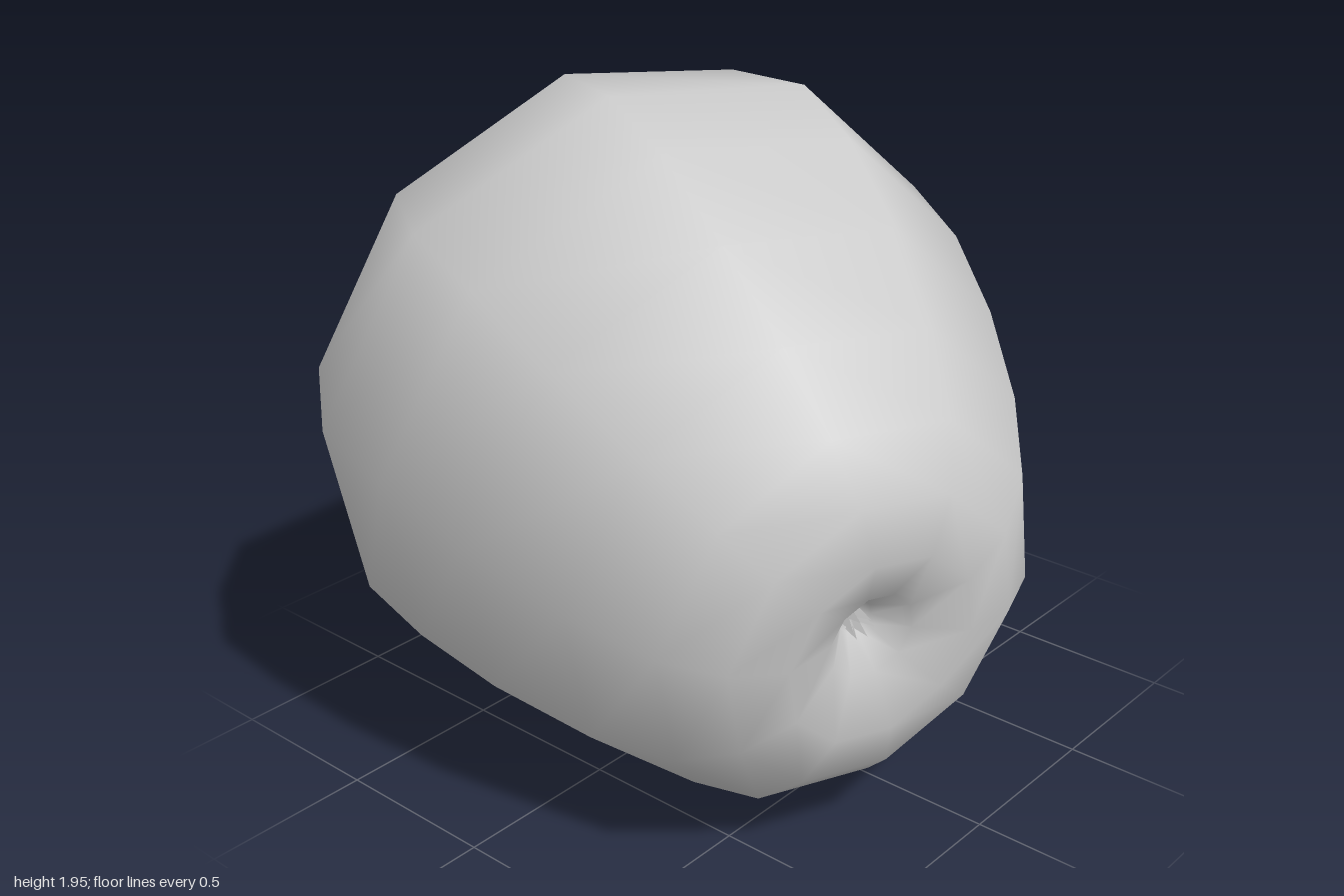
import * as THREE from 'three';
import { mergeVertices } from 'three/addons/utils/BufferGeometryUtils.js';

const V = (x, y, z) => new THREE.Vector3(x, y, z);
const { smoothstep } = THREE.MathUtils;

export function createModel() {
  const group = new THREE.Group();
  const smooth = new THREE.MeshStandardMaterial({ color: 0xcccccc });
  const faceted = new THREE.MeshStandardMaterial({ color: 0xcccccc, flatShading: true, side: THREE.DoubleSide });

  // Tilted core axis: local +y runs from the blossom end to the stem end
  const axis = V(0.31, 0.24, -0.92).normalize();
  const u = V(0.948, 0, 0.319).addScaledVector(axis, -V(0.948, 0, 0.319).dot(axis)).normalize();
  const tilt = new THREE.Matrix4().makeBasis(u, axis, u.clone().cross(axis));
  const fruit = new THREE.Group();
  fruit.name = 'fruit';
  fruit.quaternion.setFromRotationMatrix(tilt);
  fruit.position.set(-0.052, 0.94, 0);
  group.add(fruit);

  // Body: ten-sided turned profile with a dimple at both ends
  const profile = [
    [0, -0.81], [0.05, -0.84], [0.13, -0.92], [0.29, -0.975], [0.45, -0.935], [0.595, -0.825],
    [0.74, -0.6], [0.88, -0.28], [0.98, 0.03], [1.015, 0.3], [0.915, 0.6], [0.74, 0.7],
    [0.53, 0.76], [0.35, 0.71], [0.18, 0.61], [0.07, 0.51], [0, 0.49],
  ].map(([r, y]) => new THREE.Vector2(r, y));
  let skin = new THREE.LatheGeometry(profile, 10, Math.PI / 2 + 0.08);
  const p = skin.attributes.position;
  for (let i = 0; i < p.count; i++) {
    const [x, y, z] = [p.getX(i), p.getY(i), p.getZ(i)];
    const shoulder = smoothstep(y, 0.3, 0.6);
    const belly = smoothstep(y, 0, 0.35);
    const nose = smoothstep(-y, 0.2, 0.8);
    const side = Math.max(x, 0);
    // the shoulder slopes more on one side, the nose sags downwards
    p.setXYZ(i,
      x - 0.07 * shoulder * side + 0.025 * belly * Math.min(x, 0),
      y - 0.06 * shoulder * side + 0.03 * shoulder * Math.min(z, 0) + 0.08 * nose * z,
      z * (1 + 0.02 * shoulder) - 0.012 * smoothstep(-y, -0.1, 0.4) * Math.min(1, 2 * Math.hypot(x, z)));
  }
  skin.deleteAttribute('uv');
  skin.deleteAttribute('normal');
  skin = mergeVertices(skin);
  skin.computeVertexNormals();
  const body = new THREE.Mesh(skin, smooth);
  body.name = 'body';
  fruit.add(body);

  // Dried blossom: ring of tiny sepals in the front dimple
  const blossom = new THREE.Group();
  blossom.name = 'blossom';
  for (let i = 0; i < 6; i++) {
    const a = (i / 6) * Math.PI * 2;
    const sepal = new THREE.Mesh(new THREE.ConeGeometry(0.02, 0.06, 3), faceted);
    sepal.name = 'sepal';
    sepal.position.set(0.026 * Math.cos(a), -0.855, 0.026 * Math.sin(a) - 0.01);
    sepal.quaternion.setFromUnitVectors(V(0, 1, 0), V(0.25 * Math.cos(a), -1, 0.25 * Math.sin(a)).normalize());
    blossom.add(sepal);
  }
  fruit.add(blossom);

  // Stem: three rings of a cylinder moved onto a bent path
  const path = [V(0.12, 1.06, -0.46), V(0.22, 1.25, -0.83), V(0.18, 1.37, -0.975)];
  const stemGeo = new THREE.CylinderGeometry(0.032, 0.026, 2, 8, 2);
  const s = stemGeo.attributes.position;
  const turn = new THREE.Quaternion().setFromUnitVectors(V(0, 1, 0), path[2].clone().sub(path[0]).normalize());
  for (let i = 0; i < s.count; i++) {
    const ring = Math.round(s.getY(i) + 1);
    const q = V(s.getX(i), 0, s.getZ(i)).applyQuaternion(turn).add(path[ring]);
    s.setXYZ(i, q.x, q.y, q.z);
  }
  stemGeo.computeVertexNormals();
  const stem = new THREE.Mesh(stemGeo, faceted);
  stem.name = 'stem';
  group.add(stem);

  return group;
}
